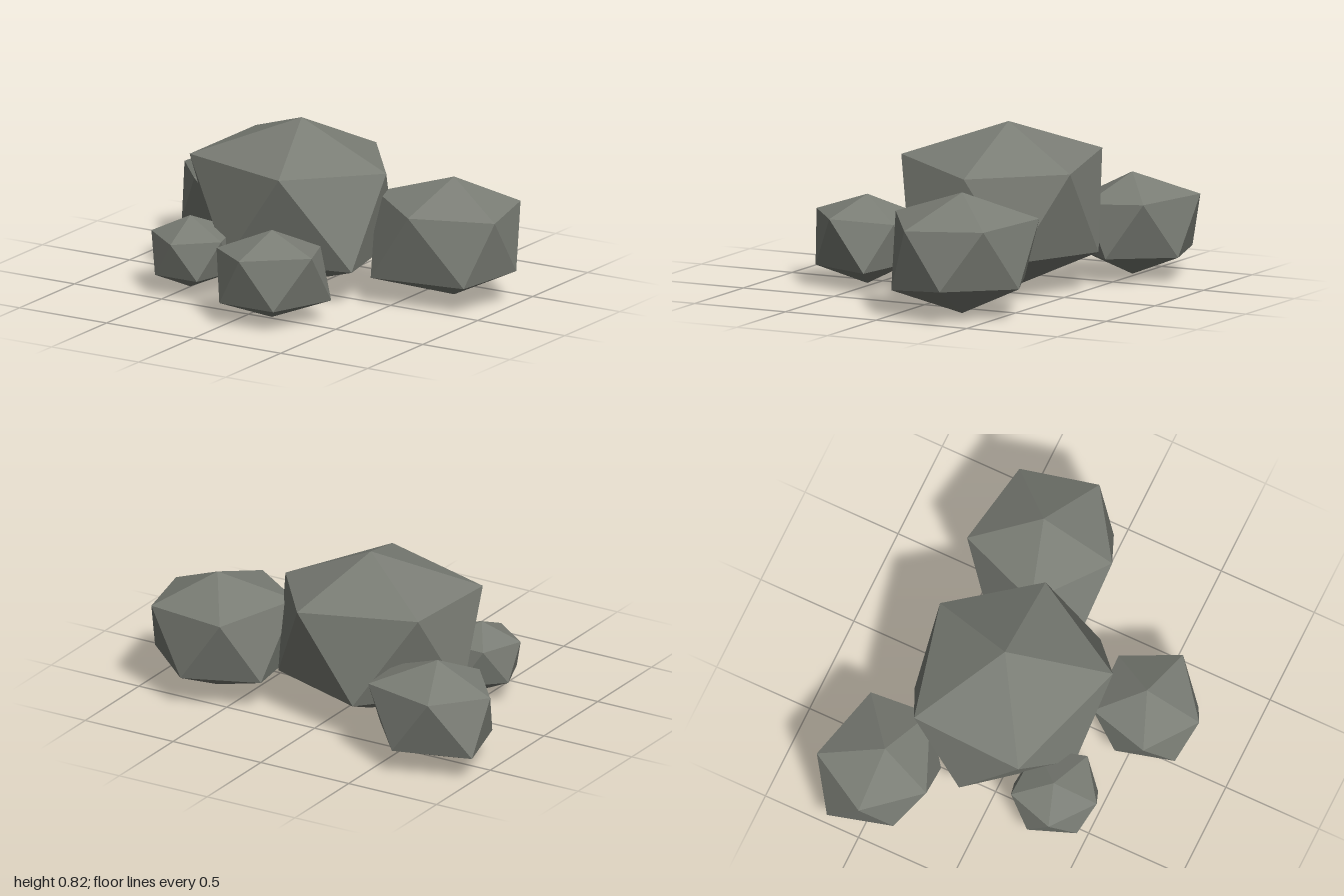
import * as THREE from 'three';
import { ConvexGeometry } from 'three/addons/geometries/ConvexGeometry.js';

const stone = new THREE.MeshStandardMaterial({ color: 0x7a7d75, flatShading: true });
stone.name = 'greyStone';

// One boulder: a rough icosahedron with an apex at each end and two staggered rings of five.
// apex = [x, z, topY, bottomY]; ring points are [x, y, z].
function boulder(name, [x, z, topY, bottomY], upper, lower) {
  const points = [[x, topY, z], [x, bottomY, z], ...upper, ...lower];
  const geometry = new ConvexGeometry(points.map((p) => new THREE.Vector3(...p)));
  const mesh = new THREE.Mesh(geometry, stone);
  mesh.name = name;
  return mesh;
}

export function createModel() {
  const group = new THREE.Group();
  group.name = 'rockCluster';

  group.add(
    boulder('mainBoulder', [-0.1, -0.14, 0.825, 0],
      [[0.08, 0.65, 0.355], [0.38, 0.61, -0.15], [0.06, 0.62, -0.565], [-0.54, 0.65, -0.42], [-0.56, 0.64, 0.15]],
      [[0.37, 0.18, 0.15], [-0.25, 0.185, 0.31], [-0.62, 0.19, -0.14], [-0.25, 0.19, -0.555], [0.28, 0.2, -0.38]]),

    boulder('leftBoulder', [0.675, -0.3, 0.605, 0.01],
      [[0.65, 0.48, 0.08], [1.0, 0.45, -0.155], [0.905, 0.46, -0.54], [0.47, 0.47, -0.615], [0.3, 0.5, -0.19]],
      [[0.9, 0.135, -0.03], [1.0, 0.165, -0.35], [0.69, 0.155, -0.62], [0.33, 0.15, -0.46], [0.41, 0.135, 0.04]]),

    boulder('backBoulder', [-0.7, -0.5, 0.515, 0.01],
      [[-0.78, 0.39, -0.24], [-0.4, 0.39, -0.4], [-0.43, 0.405, -0.705], [-0.83, 0.41, -0.805], [-1.0, 0.38, -0.5]],
      [[-0.92, 0.14, -0.35], [-1.0, 0.12, -0.67], [-0.62, 0.125, -0.795], [-0.385, 0.13, -0.52], [-0.55, 0.14, -0.27]]),

    boulder('frontBoulder', [0.14, 0.51, 0.45, 0.01],
      [[0.13, 0.355, 0.795], [0.41, 0.36, 0.575], [0.28, 0.335, 0.29], [-0.03, 0.34, 0.3], [-0.115, 0.345, 0.61]],
      [[0.28, 0.105, 0.72], [0.405, 0.105, 0.39], [0.14, 0.13, 0.27], [-0.1, 0.12, 0.45], [-0.02, 0.11, 0.735]]),

    boulder('smallBoulder', [-0.465, 0.295, 0.38, 0.02],
      [[-0.44, 0.285, 0.515], [-0.24, 0.295, 0.37], [-0.31, 0.3, 0.13], [-0.58, 0.3, 0.12], [-0.65, 0.29, 0.355]],
      [[-0.32, 0.105, 0.465], [-0.255, 0.11, 0.23], [-0.46, 0.11, 0.08], [-0.65, 0.115, 0.24], [-0.56, 0.105, 0.465]]),
  );
  return group;
}
